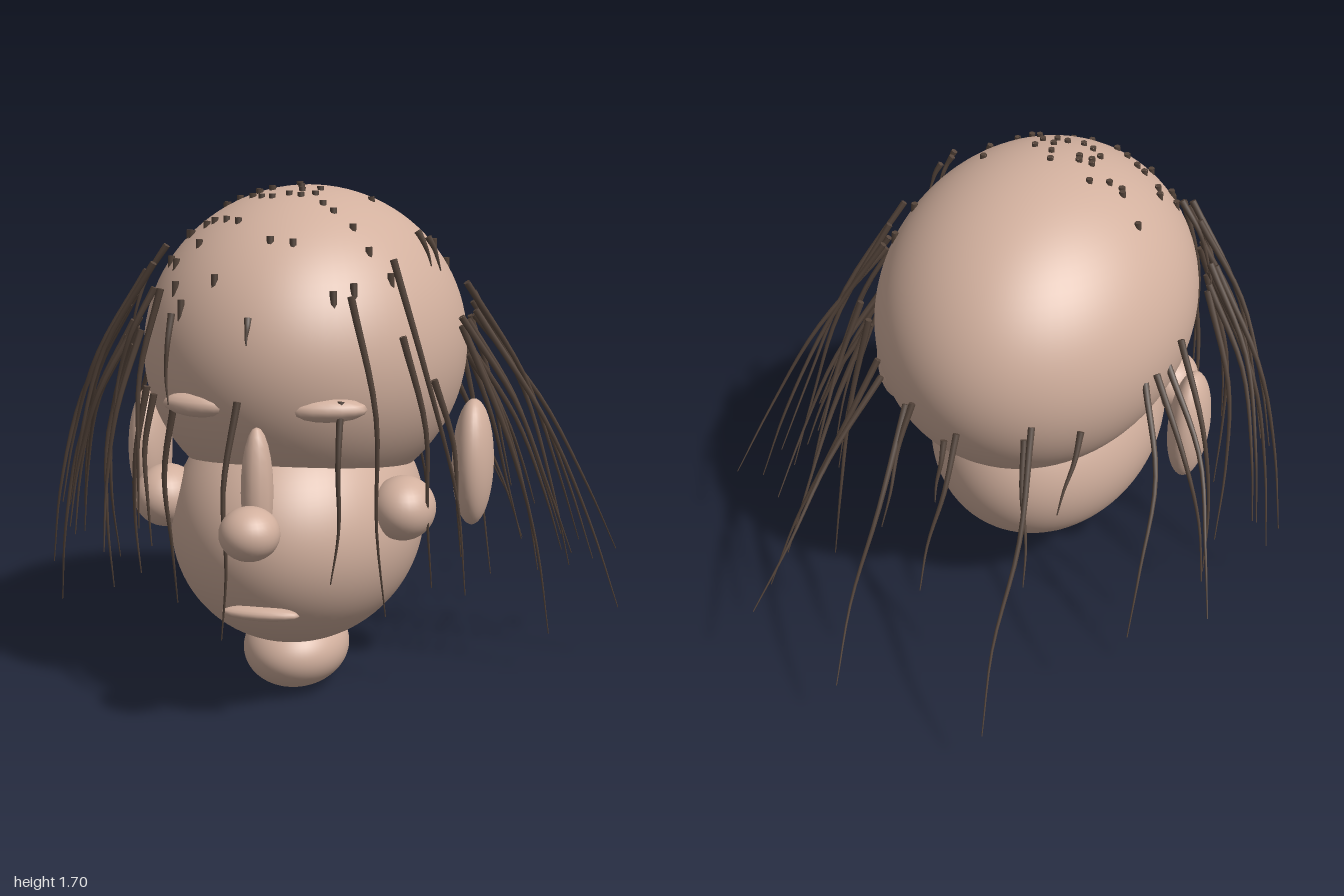
import * as THREE from 'three';

const skin = new THREE.MeshStandardMaterial({ color: 0xd2b09e });
skin.name = 'skin';
const hairColor = new THREE.MeshStandardMaterial({ color: 0x54443a });
hairColor.name = 'hair brown';

const MID = -0.07; // symmetry plane of the head
const SKULL = { c: [MID, 1.152, 0.155], r: [0.54, 0.538, 0.686] };

function ellipsoid(name, c, r, w = 64, h = 40) {
  const g = new THREE.SphereGeometry(1, w, h).scale(...r);
  const mesh = new THREE.Mesh(g, skin);
  mesh.name = name;
  mesh.position.set(...c);
  return mesh;
}

// Tapered tube: each ring is drawn in towards the curve along its length
function strandMesh(name, points, r0, r1, segs) {
  const curve = new THREE.CatmullRomCurve3(points);
  const sides = 6;
  const g = new THREE.TubeGeometry(curve, segs, r0, sides);
  const pos = g.attributes.position;
  const v = new THREE.Vector3();
  for (let i = 0; i <= segs; i++) {
    const p = curve.getPointAt(i / segs);
    const k = THREE.MathUtils.lerp(1, r1 / r0, i / segs);
    for (let j = 0; j <= sides; j++) {
      const n = i * (sides + 1) + j;
      v.fromBufferAttribute(pos, n).sub(p).multiplyScalar(k).add(p);
      pos.setXYZ(n, v.x, v.y, v.z);
    }
  }
  const mesh = new THREE.Mesh(g, hairColor);
  mesh.name = name;
  // flat cap closes the root end
  const cap = new THREE.Mesh(new THREE.CircleGeometry(r0, sides), hairColor);
  cap.name = name + 'Root';
  cap.position.copy(points[0]);
  cap.lookAt(points[0].clone().sub(curve.getTangentAt(0)));
  mesh.add(cap);
  return mesh;
}

// Long strand from root to tip, bowed away from the head with a slight wave
function longStrand(name, [x0, y0, z0, x1, y1, z1], bow, i) {
  const a = new THREE.Vector3(x0, y0, z0), b = new THREE.Vector3(x1, y1, z1);
  const len = a.distanceTo(b);
  const out = new THREE.Vector3(x0 - MID, 0, (z0 - SKULL.c[2]) * 0.6).normalize();
  const wave = new THREE.Vector3(-out.z, 0, out.x).multiplyScalar((i % 2 ? 0.015 : -0.015) * len);
  const p1 = a.clone().lerp(b, 0.35).addScaledVector(out, bow * len).add(wave);
  const p2 = a.clone().lerp(b, 0.7).addScaledVector(out, bow * len * 0.7).sub(wave);
  return strandMesh(name, [a, p1, p2, b], 0.012, 0.002, 14);
}

// Strands are listed as root x, y, z, tip x, y, z
const LEFT = [
  [.48, 1.28, .33, .84, .45, .10], [.48, 1.25, .32, .77, .15, .09], [.49, 1.26, .25, .80, .50, .05],
  [.48, 1.20, .20, .72, .35, 0], [.48, 1.38, .22, .85, .42, -.18], [.50, 1.28, .13, 1.0, .20, -.10],
  [.49, 1.26, .09, .98, .36, -.30], [.48, 1.30, .05, .90, .33, -.25], [.47, 1.15, .05, .78, .33, -.34],
  [.47, 1.12, .07, .69, .55, -.16], [.44, 1.10, -.15, .65, .60, -.30], [.34, 1.55, .35, .38, 1.44, .33],
  [.36, 1.53, .28, .40, 1.42, .26], [.33, 1.55, .31, .37, 1.46, .29], [.49, 1.34, .12, .82, .33, -.15],
];
const RIGHT = [
  [-.59, 1.10, .03, -.92, .45, -.41], [-.59, 1.15, -.10, -.86, .50, -.30], [-.56, 1.12, -.12, -.69, .40, -.55],
  [-.62, 1.20, .05, -.83, .42, -.17], [-.62, 1.33, .34, -.95, .50, .06], [-.63, 1.30, .38, -1.0, .34, .24],
  [-.62, 1.24, .35, -.92, .43, .14], [-.61, 1.20, .45, -.96, .21, .27], [-.54, 1.42, .45, -.90, .60, .37],
  [-.49, 1.45, .52, -.86, .60, .40], [-.53, 1.28, .55, -.82, .55, .50], [-.62, 1.22, .34, -.80, .33, .10],
  [-.60, 1.25, .42, -.88, .47, .32], [-.48, 1.50, .42, -.62, 1.20, .40], [-.46, 1.38, .60, -.62, .95, .58],
  [-.57, 1.18, .50, -.70, .32, .42],
];
const BACK = [
  [-.30, 1.10, -.46, -.35, .20, -.97], [-.28, 1.05, -.47, -.36, .60, -.66], [.13, 1.08, -.49, .17, .24, -1.0],
  [.10, 1.10, -.50, .14, .70, -.68], [-.07, 1.05, -.53, -.04, .56, -.77], [.26, 1.10, -.41, .52, .38, -.93],
  [.28, 1.15, -.39, .60, .27, -.70], [.42, 1.12, -.21, .61, .30, -.56], [-.43, 1.05, -.36, -.41, .80, -.50],
  [.38, 1.20, -.26, .51, .20, -.40], [-.02, 1.00, -.52, -.02, .80, -.60], [.44, 1.22, -.20, .58, .55, -.41],
];
const FACE = [
  [.20, 1.38, .72, .29, .35, .61], [.30, 1.48, .57, .52, .38, .43], [.34, 1.25, .62, .42, .42, .50],
  [-.12, 1.07, .845, -.18, .32, .85], [-.35, 1.32, .76, -.36, 1.04, .78], [-.35, 1.05, .75, -.40, .35, .62],
  [-.48, 1.07, .64, -.55, .42, .55], [-.43, 1.38, .63, -.52, .60, .64], [-.09, 1.32, .825, -.09, 1.24, .845],
  [.18, 1.07, .77, .15, .50, .78], [-.52, 1.24, .57, -.66, .50, .60], [-.45, 1.05, .66, -.47, .55, .66],
  [.42, 1.10, .50, .50, .50, .40],
];
// Short cropped hairs on the crown, x and z
const STUBS = [
  [-.42, .11], [-.34, .18], [-.33, .20], [-.29, .19], [-.24, .14], [-.21, .24], [-.20, .27], [-.17, .23],
  [-.16, .26], [-.21, .32], [-.17, .36], [-.13, .38], [-.09, .18], [-.07, .24], [-.05, .31], [-.08, .36],
  [-.04, .37], [0, .27], [0, .34], [.04, .41], [.08, .44], [.15, .19], [.15, .48], [.21, .53], [.36, -.06],
  [.33, .03], [-.41, .36], [-.39, .40], [-.33, .43], [-.30, .44], [-.44, .46], [-.40, .53], [-.32, .54],
  [-.25, .48], [-.20, .52], [-.07, .63], [0, .63], [-.37, .63], [-.33, .70], [-.22, .71], [.14, .71],
  [.19, .66], [.28, .54],
];

function crownStub([x, z], i) {
  const { c, r } = SKULL;
  const u = (x - c[0]) / r[0], w = (z - c[2]) / r[2];
  const h = Math.sqrt(Math.max(0, 1 - u * u - w * w));
  const n = new THREE.Vector3(u / r[0], h / r[1], w / r[2]).normalize();
  const a = new THREE.Vector3(x, c[1] + r[1] * h, z).addScaledVector(n, 0.012);
  const b = a.clone().addScaledVector(n, 0.004);
  b.y -= 0.03 + 0.09 * (1 - h);
  return strandMesh('crownStub' + i, [a, b], 0.0115, 0.0105, 2);
}

export function createModel() {
  const model = new THREE.Group();
  model.name = 'head';

  // Main masses
  model.add(
    ellipsoid('skull', SKULL.c, SKULL.r, 80, 50),
    ellipsoid('jaw', [MID, 0.585, 0.285], [0.42, 0.418, 0.562], 80, 50),
    ellipsoid('neck', [MID, 0.14, 0.34], [0.178, 0.137, 0.225]),
    ellipsoid('noseBridge', [MID, 0.79, 0.815], [0.05, 0.2, 0.059], 12, 12),
    ellipsoid('noseTip', [MID, 0.682, 0.905], [0.093, 0.083, 0.095], 32, 20),
    ellipsoid('mouth', [MID, 0.396, 0.795], [0.125, 0.023, 0.035], 16, 10),
  );

  // Paired features
  for (const s of [1, -1]) {
    const side = s > 0 ? 'left' : 'right';
    const eye = ellipsoid(side + 'Eye', [MID + s * 0.205, 1.04, 0.755], [0.122, 0.038, 0.054], 16, 8);
    eye.rotation.y = s * 0.25;
    model.add(
      eye,
      ellipsoid(side + 'Cheek', [MID + s * 0.397, 0.685, 0.512], [0.105, 0.103, 0.125], 32, 20),
      ellipsoid(side + 'Ear', [MID + s * 0.575, 0.768, 0.17], [0.07, 0.217, 0.122], 32, 20),
    );
  }

  // Hair
  const hair = new THREE.Group();
  hair.name = 'hair';
  const locks = { left: [LEFT, 0.05], right: [RIGHT, 0.07], back: [BACK, 0.02], face: [FACE, 0.05] };
  for (const [name, [list, bow]] of Object.entries(locks)) {
    list.forEach((s, i) => hair.add(longStrand(name + 'Strand' + i, s, bow, i)));
  }
  STUBS.forEach((s, i) => hair.add(crownStub(s, i)));
  model.add(hair);
  return model;
}
